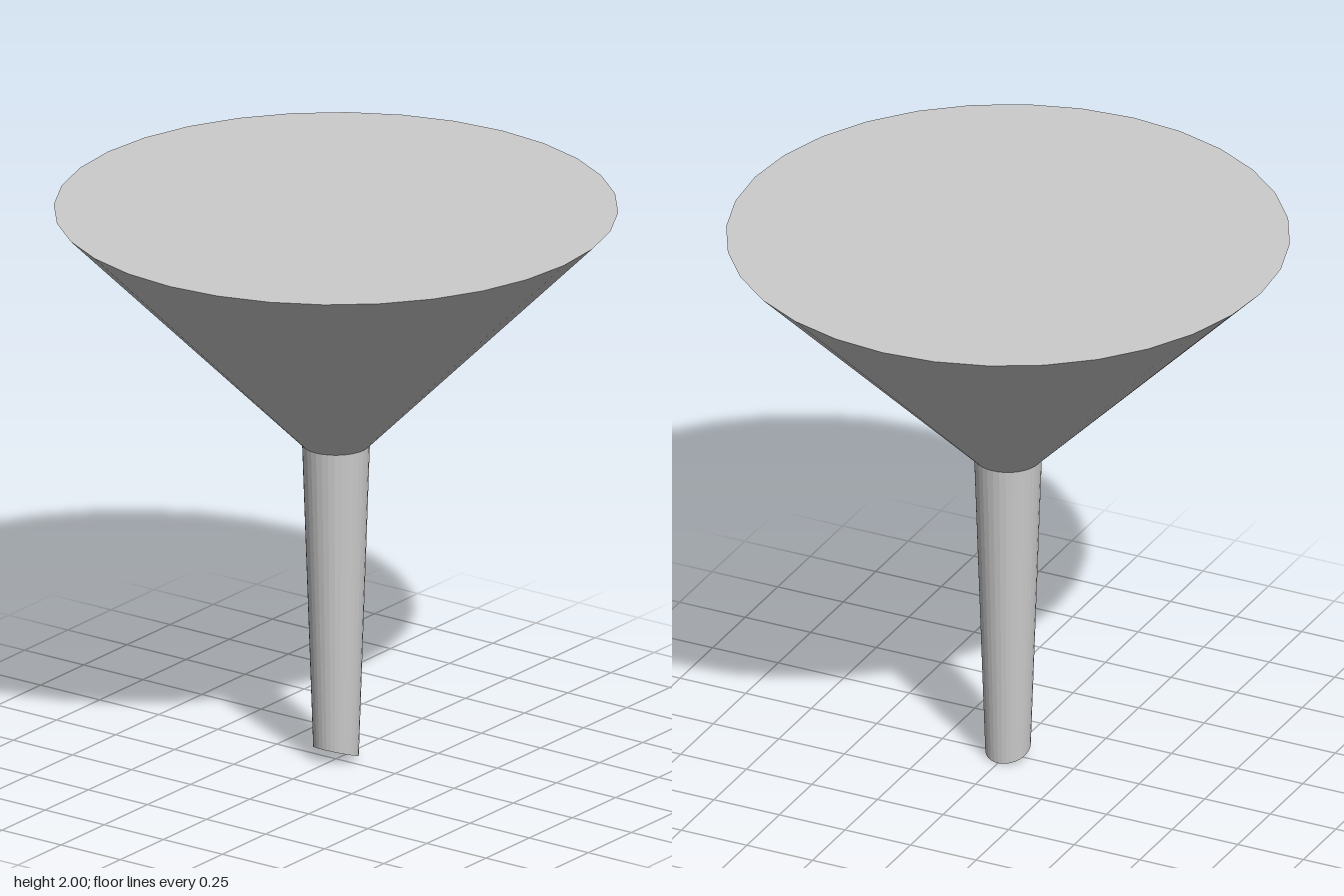
import * as THREE from 'three';

const SIDES = 32;
const NECK_Y = 1.145;
const NECK_R = 0.116;

export function createModel() {
  const group = new THREE.Group();
  group.name = 'funnel';
  const material = new THREE.MeshStandardMaterial({ color: 0xcccccc, flatShading: true });

  const addPart = (name, geometry) => {
    const mesh = new THREE.Mesh(geometry, material);
    mesh.name = name;
    group.add(mesh);
  };

  // Wide cone and the flat disc closing its mouth
  const coneHeight = 2 - NECK_Y;
  addPart('cone', new THREE.CylinderGeometry(0.965, NECK_R, coneHeight, SIDES, 1, true)
    .translate(0, NECK_Y + coneHeight / 2, 0));
  addPart('mouthDisc', new THREE.CircleGeometry(0.965, SIDES)
    .rotateX(-Math.PI / 2).translate(0, 2, 0));

  // Tapered stem, its tip cut at a slant that is lowest at the back
  const slant = (geometry) => {
    const p = geometry.attributes.position;
    for (let i = 0; i < p.count; i++) {
      if (p.getY(i) < 0.01) p.setY(i, 0.028 + 0.36 * p.getZ(i));
    }
    geometry.computeVertexNormals();
    return geometry;
  };
  addPart('stem', slant(new THREE.CylinderGeometry(NECK_R, 0.078, NECK_Y, SIDES, 1, true)
    .translate(0, NECK_Y / 2, 0)));
  addPart('stemTip', slant(new THREE.CircleGeometry(0.078, SIDES).rotateX(Math.PI / 2)));

  return group;
}
